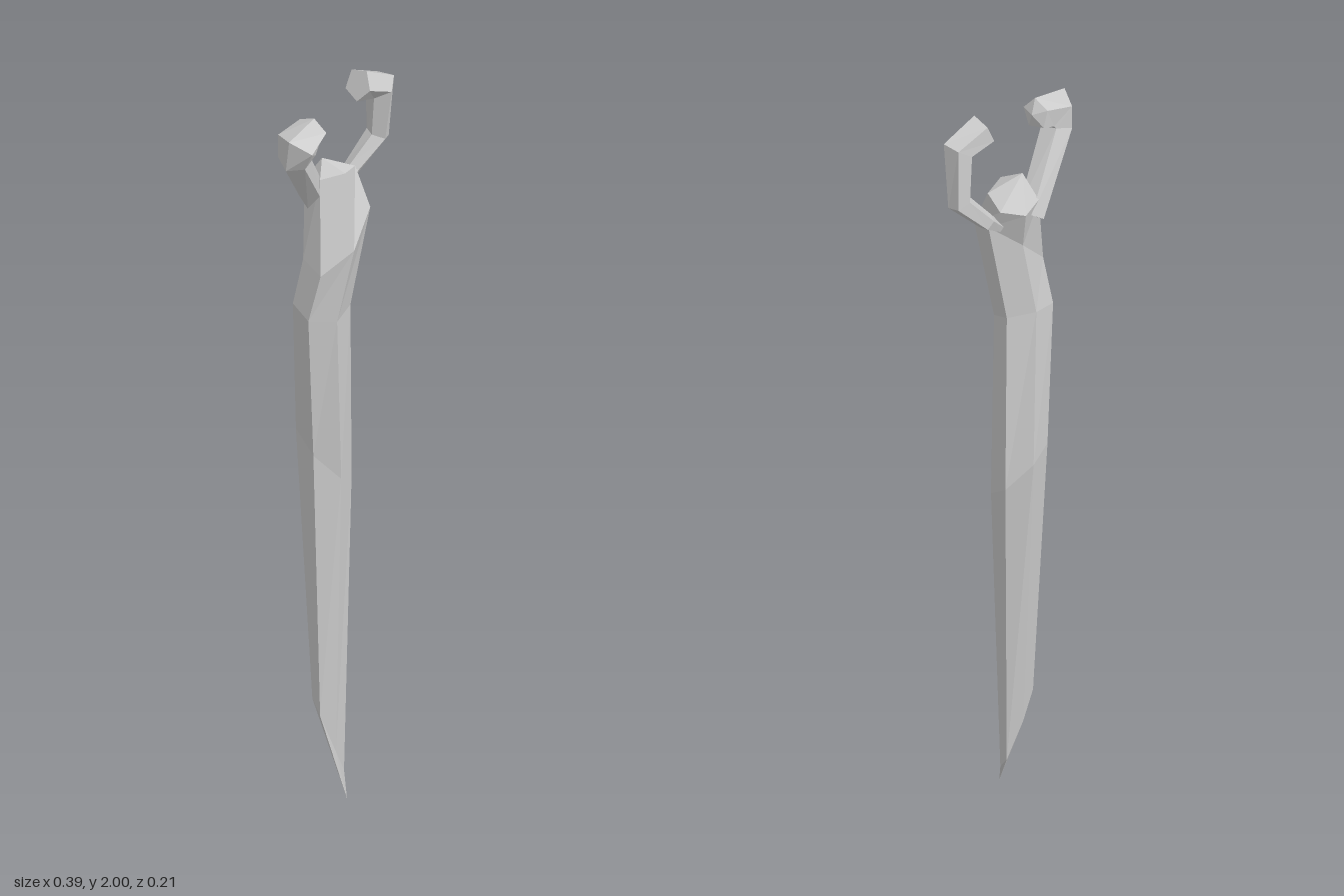
import * as THREE from 'three';

const material = new THREE.MeshStandardMaterial({ color: 0xcccccc, flatShading: true });

// Skin a stack of equal-sided rings, closing both ends with a fan to a point
function loft(name, rings, startTip, endTip) {
  const n = rings[0].length;
  const position = [];
  const tri = (...pts) => pts.forEach(p => position.push(p.x, p.y, p.z));
  for (let i = 0; i < n; i++) {
    const j = (i + 1) % n;
    for (let r = 0; r < rings.length - 1; r++) {
      const a = rings[r], b = rings[r + 1];
      tri(a[i], b[i], a[j]);
      tri(a[j], b[i], b[j]);
    }
    const last = rings[rings.length - 1];
    tri(startTip, rings[0][i], rings[0][j]);
    tri(endTip, last[j], last[i]);
  }
  const geometry = new THREE.BufferGeometry();
  geometry.setAttribute('position', new THREE.Float32BufferAttribute(position, 3));
  geometry.computeVertexNormals();
  const mesh = new THREE.Mesh(geometry, material);
  mesh.name = name;
  return mesh;
}

// Six-sided trunk ring from its bounds; slopeX and slopeZ tilt it
function trunkRing([y, x0, x1, z0, z1, slopeX, slopeZ]) {
  const cx = (x0 + x1) / 2, cz = (z0 + z1) / 2;
  return Array.from({ length: 6 }, (_, i) => {
    const a = Math.PI / 6 + i * Math.PI / 3;
    const dx = (x1 - x0) / 2 * Math.cos(a) / Math.cos(Math.PI / 6);
    const dz = (z1 - z0) / 2 * Math.sin(a);
    return new THREE.Vector3(cx + dx, y + slopeX * dx + slopeZ * dz, cz + dz);
  });
}

// Five-sided branch swept along points of [x, y, z, radius]
function branch(name, path, endBulge) {
  const pts = path.map(p => new THREE.Vector3(p[0], p[1], p[2]));
  const rings = pts.map((p, k) => {
    const before = p.clone().sub(pts[Math.max(k - 1, 0)]).normalize();
    const after = pts[Math.min(k + 1, pts.length - 1)].clone().sub(p).normalize();
    const t = before.add(after).normalize();
    const u = new THREE.Vector3(0, 0, 1).addScaledVector(t, -t.z).normalize();
    const v = u.clone().cross(t);
    return Array.from({ length: 5 }, (_, i) => {
      const a = i * Math.PI * 2 / 5;
      return p.clone().addScaledVector(u, Math.cos(a) * path[k][3])
        .addScaledVector(v, Math.sin(a) * path[k][3]);
    });
  });
  const end = pts[pts.length - 1];
  const dir = end.clone().sub(pts[pts.length - 2]).normalize();
  return loft(name, rings, pts[0], end.clone().addScaledVector(dir, endBulge));
}

export function createModel() {
  const group = new THREE.Group();
  group.name = 'forkedStake';

  // Trunk: [height, xMin, xMax, zMin, zMax, slopeX, slopeZ]
  const trunk = [
    [0.17, -0.05, 0.025, -0.03, 0.03, -2.4, -1.2],
    [0.95, -0.06, 0.06, -0.10, 0.035, -0.8, -0.7],
    [1.39, -0.095, 0.037, -0.065, 0.055, 0, -0.4],
    [1.59, -0.078, 0.078, -0.05, 0.085, 0.9, -0.3],
    [1.74, -0.045, 0.065, -0.08, 0.038, 0, 0.4],
  ].map(trunkRing);
  group.add(loft('trunk', trunk, new THREE.Vector3(0.01, 0, 0.045),
    new THREE.Vector3(-0.02, 1.795, -0.015)));

  // Hooked left branch
  group.add(branch('leftBranch', [
    [0.055, 1.67, -0.03, 0.012],
    [0.10, 1.71, -0.045, 0.022],
    [0.172, 1.785, -0.035, 0.03],
    [0.168, 1.93, -0.02, 0.04],
    [0.092, 1.962, -0.013, 0.042],
  ], 0));

  // Knobbed right branch
  group.add(branch('rightBranch', [
    [-0.03, 1.68, -0.035, 0.035],
    [-0.148, 1.86, 0.035, 0.04],
    [-0.148, 1.905, 0.05, 0.056],
    [-0.085, 1.92, 0.03, 0.04],
  ], 0.015));

  return group;
}
